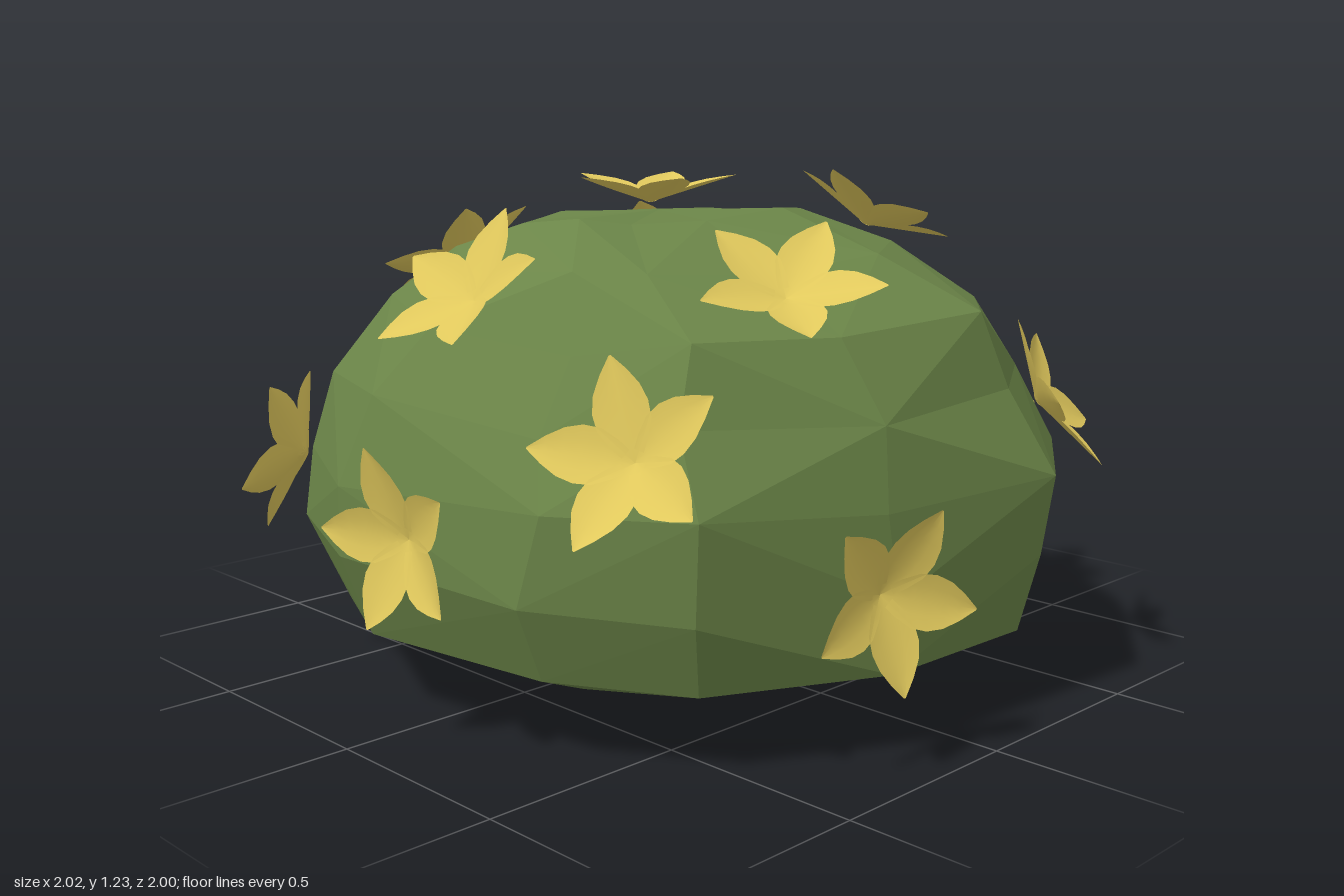
import * as THREE from 'three';

const V = (a) => new THREE.Vector3(...a);
const jitter = (i) => {
  const s = Math.sin(i * 127.1 + 3.7) * 43758.5453;
  return (s - Math.floor(s) - 0.5) * 0.04;
};

// Widest outline of the bush, seen from above (x, z)
const outline = [
  [0.25, -0.85], [0.7, -0.62], [0.95, -0.25], [0.93, 0.25], [0.73, 0.66], [0.45, 0.86], [-0.13, 0.92],
  [-0.45, 0.77], [-0.58, 0.5], [-0.78, 0.38], [-0.87, 0.13], [-0.72, -0.2], [-0.45, -0.62], [-0.15, -0.81],
];
const HOLLOW = 8; // outline point of the hollow, which fades out near the ground
// Height, then extents of the outline at that height: xMin, xMax, zMin, zMax
const levels = [
  [0.02, -0.4, 0.38, -0.64, 0.3],
  [0.08, -0.66, 0.57, -0.76, 0.57],
  [0.19, -0.84, 0.87, -0.81, 0.83],
  [0.38, -0.88, 0.93, -0.84, 0.9],
  [0.56, -0.87, 0.95, -0.83, 0.91],
  [0.75, -0.72, 0.87, -0.77, 0.88],
  [0.93, -0.53, 0.8, -0.65, 0.81],
  [1.05, -0.32, 0.58, -0.46, 0.68],
  [1.115, -0.15, 0.3, -0.27, 0.47],
];

// Flower centre, facing direction, direction of one petal
const flowers = [
  [[-0.34, 0.62, -0.735], [-0.42, 0.25, -0.87], [0, 1, 0]],
  [[0.28, 0.53, -0.865], [0.3, 0, -0.95], [0, 1, 0]],
  [[-0.39, 0.96, -0.32], [-0.45, 0.85, -0.25], [-0.02, 0, -0.19]],
  [[0.35, 1.08, -0.31], [0.2, 0.9, -0.4], [-0.18, 0, 0.08]],
  [[0.76, 0.68, -0.45], [0.7, 0.5, -0.43], [0, 0.19, 0.07]],
  [[0, 1.135, 0.08], [0, 1, 0], [-0.02, 0, 0.2]],
  [[-0.86, 0.55, 0.11], [-0.87, 0.5, 0.05], [0.08, 0.2, 0.03]],
  [[-0.38, 0.97, 0.35], [-0.55, 0.78, 0.12], [-0.02, 0, 0.18]],
  [[0.62, 0.97, 0.28], [0.4, 0.85, 0.35], [-0.19, 0, -0.01]],
  [[0.88, 0.39, 0.28], [0.97, 0, 0.25], [0, -0.2, -0.02]],
  [[-0.485, 0.55, 0.76], [-0.8, 0.2, 0.57], [0, -0.2, 0]],
  [[0.12, 0.96, 0.71], [0, 0.72, 0.7], [-0.2, 0, -0.07]],
  [[0.63, 0.69, 0.72], [0.3, 0.45, 0.8], [-0.18, -0.04, 0]],
  [[0.13, 0.48, 0.9], [0.1, 0, 1], [-0.06, 0.2, 0]],
].map(([centre, facing, along]) => ({ centre: V(centre), normal: V(facing).normalize(), along: V(along) }));

// Press the bush flat under each flower; raise it only a little where it lies below
function settleUnderFlowers(p) {
  for (const { centre, normal } of flowers) {
    const offset = p.clone().sub(centre);
    const height = offset.dot(normal);
    if (offset.length() < 0.3) p.addScaledVector(normal, -height * (height > 0 ? 1 : 0.4));
  }
  return p;
}

// Faceted bush lofted through the levels, with a slightly uneven surface
function buildBush(material) {
  const n = outline.length;
  const points = [];
  const index = [];
  levels.forEach(([y, x0, x1, z0, z1], r) => {
    const rough = [0, 0.3, 0.5][r] ?? 1;
    outline.forEach(([x, z], i) => {
      const k = r * n + i;
      const fill = i === HOLLOW && r < 3 ? 1.13 : 1;
      points.push(settleUnderFlowers(new THREE.Vector3(
        THREE.MathUtils.mapLinear(x * fill, -0.87, 0.95, x0, x1) + rough * jitter(k),
        y + rough * jitter(k + 500),
        THREE.MathUtils.mapLinear(z * fill, -0.85, 0.92, z0, z1) + rough * jitter(k + 900),
      )));
    });
  });
  const bottom = points.length;
  points.push(V([0.17, 0, 0]), V([0.03, 1.13, 0.08]));
  const last = (levels.length - 1) * n;
  for (let i = 0; i < n; i++) {
    const j = (i + 1) % n;
    for (let r = 0; r < levels.length - 1; r++) {
      const a = r * n + i, b = r * n + j, c = a + n, d = b + n;
      // split each four-sided patch along the diagonal that bulges outwards
      const middle = (p, q) => points[p].clone().add(points[q]).multiplyScalar(0.5).sub(V([0, 0.4, 0])).length();
      if (middle(b, c) > middle(a, d)) index.push(a, c, b, b, c, d);
      else index.push(a, c, d, a, d, b);
    }
    index.push(bottom, i, j, bottom + 1, last + j, last + i);
  }
  const geo = new THREE.BufferGeometry().setFromPoints(points);
  geo.setIndex(index);
  const flat = geo.toNonIndexed();
  flat.computeVertexNormals();
  const mesh = new THREE.Mesh(flat, material);
  mesh.name = 'bush';
  return mesh;
}

// Pointed petal along +y, rising and cupped towards +z
function petalGeometry() {
  const halfWidth = [0.014, 0.04, 0.058, 0.06, 0.05, 0.029, 0.002];
  const geo = new THREE.PlaneGeometry(2, 1, 4, 6);
  const p = geo.attributes.position;
  for (let i = 0; i < p.count; i++) {
    const s = p.getX(i);
    const t = p.getY(i) + 0.5;
    const w = halfWidth[Math.round(t * 6)];
    p.setXYZ(i, s * w, t * 0.208, 0.012 + 0.065 * t + 0.2 * w * s * s);
  }
  geo.computeVertexNormals();
  return geo;
}

function buildFlower(petal, material, { centre, normal, along }) {
  const flower = new THREE.Group();
  flower.name = 'flower';
  for (let i = 0; i < 5; i++) {
    const mesh = new THREE.Mesh(petal, material);
    mesh.name = 'petal';
    mesh.rotation.z = (i * Math.PI * 2) / 5;
    flower.add(mesh);
  }
  const up = along.clone().projectOnPlane(normal).normalize();
  const side = up.clone().cross(normal);
  flower.quaternion.setFromRotationMatrix(new THREE.Matrix4().makeBasis(side, up, normal));
  flower.position.copy(centre);
  return flower;
}

export function createModel() {
  const green = new THREE.MeshStandardMaterial({ color: 0x6b8548, flatShading: true });
  const yellow = new THREE.MeshStandardMaterial({ color: 0xe0c85c, side: THREE.DoubleSide });
  const model = new THREE.Group();
  model.name = 'floweringBush';
  model.add(buildBush(green));
  const petal = petalGeometry();
  flowers.forEach((f) => model.add(buildFlower(petal, yellow, f)));
  return model;
}
